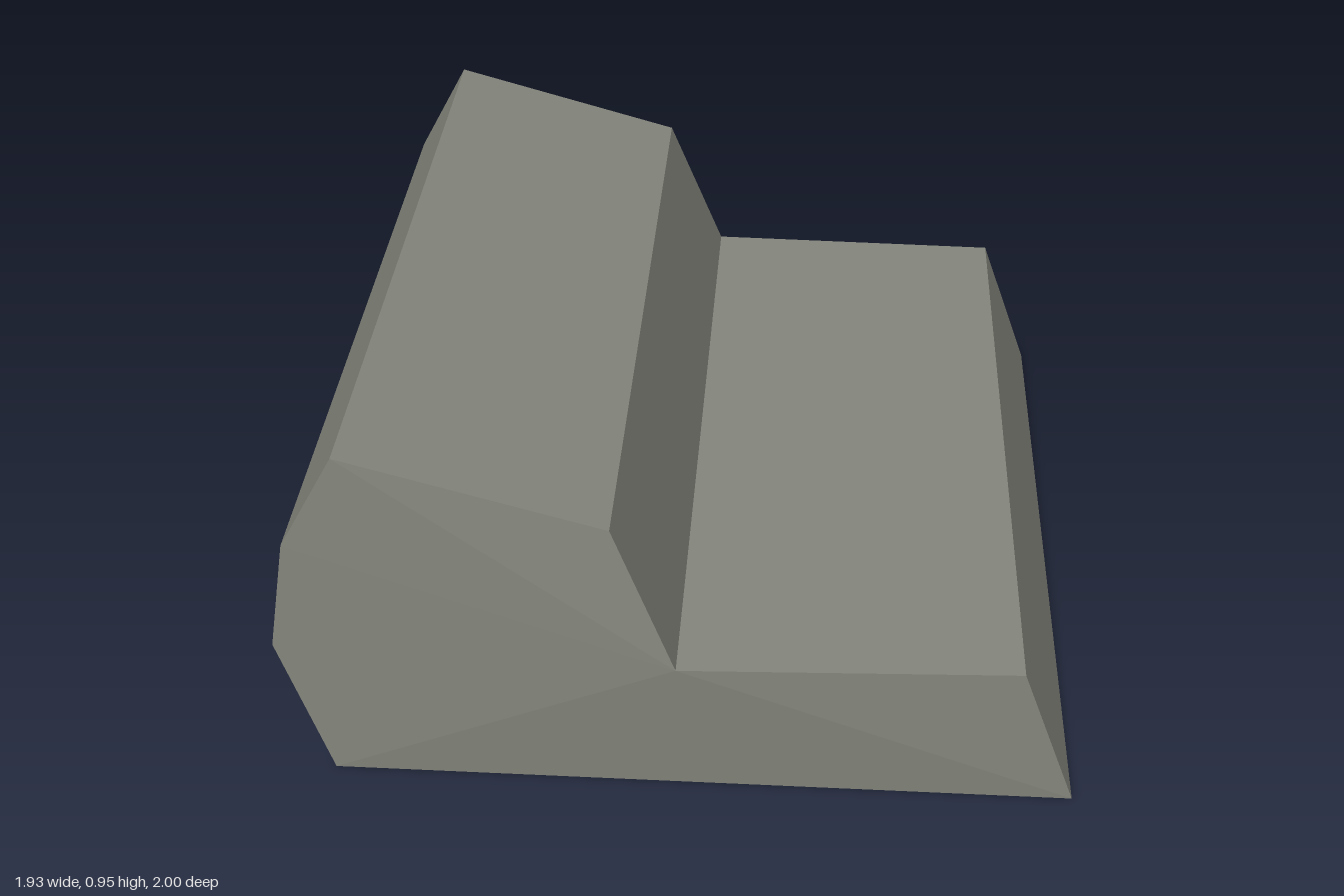
import * as THREE from 'three';

// Step-shaped profile, counter-clockwise seen from the front
const profile = [
  [-0.85, 0], [0.965, 0], [0.82, 0.395], [0, 0.395],
  [-0.15, 0.78], [-0.77, 0.955], [-0.91, 0.7], [-0.965, 0.395],
];
const NOTCH = 3; // inner corner of the step, where both end caps bulge outward

function blockGeometry() {
  const n = profile.length;
  const front = profile.map(([x, y], i) => [x, y, i === NOTCH ? 1 : 0.967]);
  const back = profile.map(([x, y], i) => [x, y, i === NOTCH ? -1 : -0.982]);
  const positions = [];
  const triangle = (...corners) => corners.forEach((c) => positions.push(...c));

  for (let i = 0; i < n; i++) {
    const j = (i + 1) % n;
    // Long side strip
    triangle(front[i], back[i], back[j]);
    triangle(front[i], back[j], front[j]);
    // End caps fan out from the notch corner
    if (i !== NOTCH && j !== NOTCH) {
      triangle(front[NOTCH], front[i], front[j]);
      triangle(back[NOTCH], back[j], back[i]);
    }
  }

  const geometry = new THREE.BufferGeometry();
  geometry.setAttribute('position', new THREE.Float32BufferAttribute(positions, 3));
  geometry.computeVertexNormals();
  return geometry;
}

export function createModel() {
  const group = new THREE.Group();
  group.name = 'steppedBlock';

  const stone = new THREE.MeshStandardMaterial({ color: 0x85877d });
  stone.name = 'stone grey';

  const block = new THREE.Mesh(blockGeometry(), stone);
  block.name = 'stepBody';
  group.add(block);
  return group;
}
